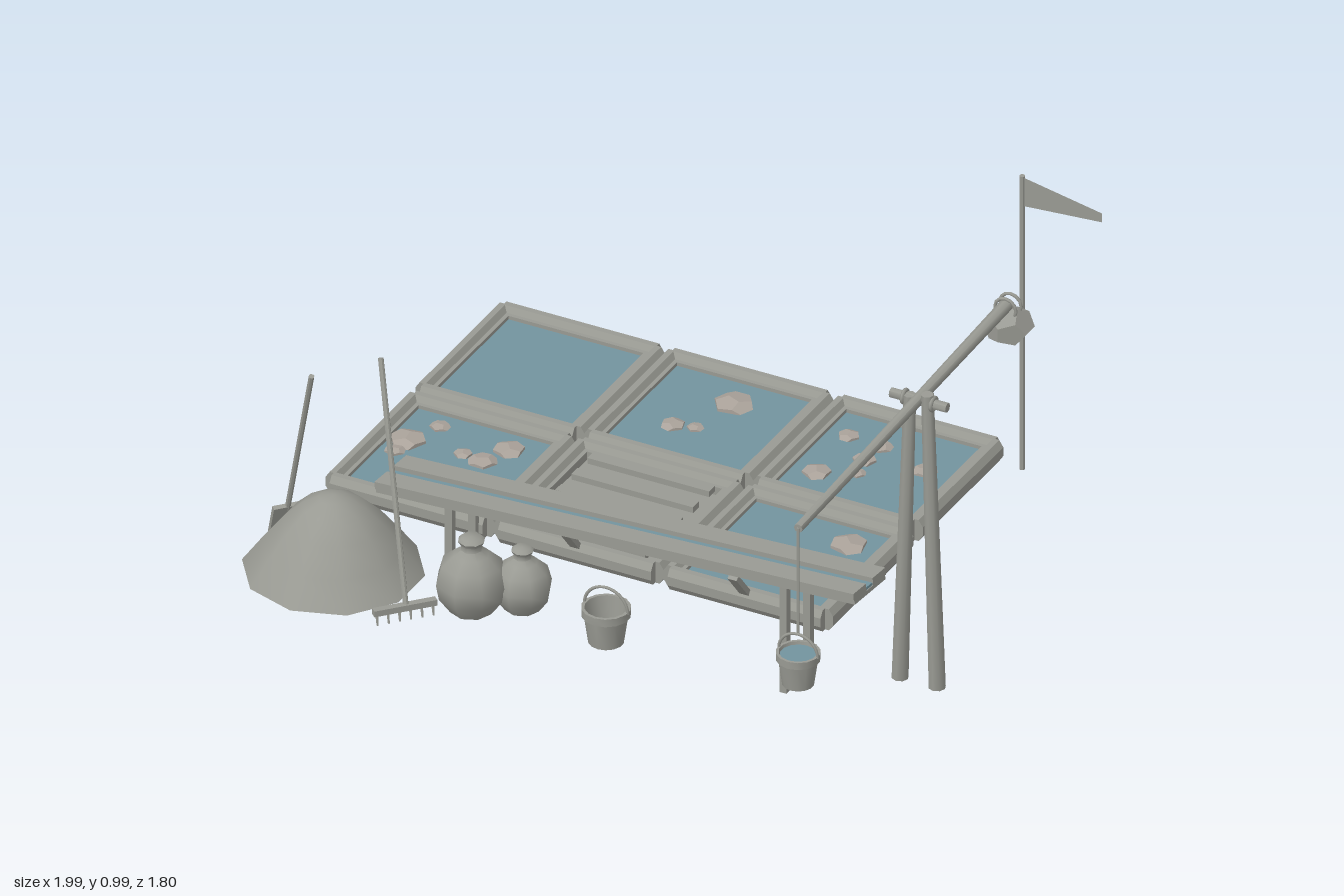
import * as THREE from 'three';
import { toCreasedNormals } from 'three/addons/utils/BufferGeometryUtils.js';

const mat = (name, color, side = THREE.FrontSide) => {
  const m = new THREE.MeshStandardMaterial({ color, side });
  m.name = name;
  return m;
};
const V = (x, y, z) => new THREE.Vector3(x, y, z);

export function createModel() {
  const root = new THREE.Group();
  root.name = 'saltWorks';
  const grey = mat('weathered grey', 0x999a93, THREE.DoubleSide);
  const water = mat('brine blue', 0x72939e);
  const salt = mat('salt beige', 0xaaa29a);

  const add = (parent, name, geo, m, x = 0, y = 0, z = 0) => {
    const mesh = new THREE.Mesh(geo, m);
    mesh.name = name;
    mesh.position.set(x, y, z);
    parent.add(mesh);
    return mesh;
  };
  const group = (name, x = 0, y = 0, z = 0) => {
    const g = new THREE.Group();
    g.name = name;
    g.position.set(x, y, z);
    root.add(g);
    return g;
  };
  const box = (parent, name, w, h, d, x, y, z, m = grey) =>
    add(parent, name, new THREE.BoxGeometry(w, h, d), m, x, y, z);
  // round bar between two points
  const rod = (parent, name, a, b, r0, r1 = r0, sides = 8) => {
    const geo = toCreasedNormals(new THREE.CylinderGeometry(r1, r0, a.distanceTo(b), sides), 0.9);
    const mesh = add(parent, name, geo, grey);
    mesh.position.copy(a).lerp(b, 0.5);
    mesh.quaternion.setFromUnitVectors(V(0, 1, 0), b.clone().sub(a).normalize());
    return mesh;
  };
  const lathe = (parent, name, pts, sides, x, y, z) => {
    const geo = new THREE.LatheGeometry(pts.map(p => new THREE.Vector2(p[0], p[1])), sides);
    return add(parent, name, toCreasedNormals(geo, 0.9), grey, x, y, z);
  };

  // Evaporation pans: octagonal rails, floor, inner ledge and brine
  const railGeo = new THREE.CylinderGeometry(0.5, 0.5, 0.465, 8);
  railGeo.rotateY(Math.PI / 8);
  railGeo.rotateX(Math.PI / 2);
  railGeo.scale(0.043 / 0.924, 0.066 / 0.924, 1);
  const rail = toCreasedNormals(railGeo, 0.5);
  const colX = [-0.625, -0.113, 0.402], rowZ = [-0.595, -0.077];
  rowZ.forEach((z, r) => colX.forEach((x, c) => {
    const pan = group('pan', x, 0, z);
    for (let i = 0; i < 4; i++) {
      const a = i * Math.PI / 2, s = Math.sin(a), k = Math.cos(a);
      add(pan, 'rail', rail, grey, 0.236 * k, 0.158, 0.236 * s).rotation.y = -a;
      box(pan, 'ledge', 0.014, 0.04, 0.436, 0.212 * k, 0.155, 0.212 * s).rotation.y = -a;
    }
    box(pan, 'floor', 0.45, 0.02, 0.45, 0, 0.14, 0);
    if (r === 1 && c === 1) {
      for (let i = -2; i <= 2; i++) box(pan, 'dryingSlat', 0.37, 0.018, 0.034, 0, 0.172, i * 0.0925);
    } else box(pan, 'brine', 0.414, 0.014, 0.414, 0, 0.157, 0, water);
  }));

  // Salt crystals floating on the brine: x, z, radius
  const crystals = group('saltCrystals', 0, 0.166, 0);
  const crystalGeo = new THREE.DodecahedronGeometry(1);
  [[-0.735, -0.225, 0.03], [-0.78, -0.125, 0.055], [-0.785, -0.06, 0.03], [-0.615, -0.13, 0.028],
    [-0.55, -0.12, 0.042], [-0.515, -0.205, 0.047], [-0.57, -0.015, 0.028], [-0.525, 0.02, 0.03],
    [-0.63, 0.045, 0.036], [-0.09, -0.695, 0.06], [-0.185, -0.525, 0.036], [-0.125, -0.54, 0.025],
    [0.26, -0.695, 0.033], [0.365, -0.685, 0.033], [0.355, -0.605, 0.036], [0.37, -0.535, 0.025],
    [0.27, -0.49, 0.043], [0.525, -0.63, 0.036], [0.52, -0.2, 0.055], [0.495, 0, 0.048],
  ].forEach(([x, z, r], i) => {
    const m = add(crystals, 'saltCrystal', crystalGeo, salt, x, 0, z);
    m.scale.set(r, r * 0.3, r);
    m.rotation.y = i * 1.7;
  });

  // Sloping water trough with legs and two spouts
  const trough = group('trough', 0.112, 0.36, 0.286);
  trough.rotation.order = 'YZX';
  trough.rotation.set(0, -0.074, 0.092);
  box(trough, 'troughFloor', 1.525, 0.012, 0.155, 0, -0.012, 0);
  for (const s of [-1, 1]) box(trough, 'troughPlank', 1.525, 0.022, 0.064, 0, 0.005, s * 0.049);
  box(trough, 'troughWater', 1.52, 0.008, 0.034, 0, -0.002, 0, water);
  const supports = group('troughSupports');
  for (const [x, z, top] of [[0.638, 0.325, 0.395], [-0.42, 0.247, 0.3]])
    for (const s of [-1, 1])
      box(supports, 'troughLeg', 0.022, top - 0.055, 0.022, x - s * 0.004, (top + 0.055) / 2, z + s * 0.06);
  for (const x of [-0.115, 0.4])
    box(supports, 'spout', 0.028, 0.016, 0.125, x, 0.22, 0.2).rotation.x = -0.88;

  // Well sweep: posts, crossbar, beam, counterweight, rope
  const sweep = group('wellSweep');
  rod(sweep, 'post', V(0.855, 0.03, 0.14), V(0.885, 0.93, 0.14), 0.024, 0.018);
  rod(sweep, 'post', V(0.968, 0.03, 0.14), V(0.938, 0.945, 0.14), 0.024, 0.018);
  rod(sweep, 'crossbar', V(0.826, 0.918, 0.137), V(0.998, 0.918, 0.137), 0.014);
  for (const x of [0.868, 0.955])
    add(sweep, 'lashing', new THREE.TorusGeometry(0.018, 0.006, 6, 10), grey, x, 0.918, 0.137).rotation.y = Math.PI / 2;
  rod(sweep, 'beam', V(0.912, 0.893, 0.836), V(0.912, 0.946, -0.37), 0.013, 0.019);
  const stone = add(sweep, 'counterweight', new THREE.DodecahedronGeometry(0.07), grey, 0.915, 0.878, -0.375);
  stone.scale.y = 0.8;
  for (const z of [-0.36, -0.39])
    add(sweep, 'weightRope', new THREE.TorusGeometry(0.032, 0.005, 6, 12), grey, 0.912, 0.935, z);
  rod(sweep, 'rope', V(0.912, 0.895, 0.836), V(0.912, 0.565, 0.836), 0.004, 0.004, 6);

  // Buckets
  const bucket = (x, y, z, r, h, full) => {
    const b = group('bucket', x, y, z);
    lathe(b, 'pail', [[0, 0], [0.72 * r, 0], [0.9 * r, 0.78 * h], [r, 0.78 * h], [r, h],
      [0.87 * r, h], [0.68 * r, 0.1 * h], [0, 0.1 * h]], 14, 0, 0, 0);
    add(b, 'handle', new THREE.TorusGeometry(r * 0.97, 0.0045, 6, 18, Math.PI), grey, 0, h * 0.95, 0);
    if (full) add(b, 'bucketWater', new THREE.CylinderGeometry(0.83 * r, 0.83 * r, 0.006, 14), water, 0, h * 0.88, 0);
  };
  bucket(0.912, 0.405, 0.836, 0.061, 0.1, true);
  bucket(0.142, 0.125, 0.482, 0.068, 0.108, false);

  // Storage jars
  for (const [x, z, s] of [[-0.255, 0.505, 1], [-0.138, 0.433, 0.83]]) {
    lathe(root, 'jar', [[0, 0], [0.06, 0], [0.092, 0.045], [0.1, 0.09], [0.085, 0.145], [0.05, 0.175],
      [0.03, 0.19], [0.03, 0.205], [0.038, 0.218], [0.028, 0.228], [0, 0.228]], 8, x, 0.125, z).scale.setScalar(s);
  }

  // Salt heap
  lathe(root, 'heap', [[0, 0], [0.25, 0], [0.195, 0.075], [0.14, 0.145], [0.085, 0.198],
    [0.04, 0.222], [0, 0.23]], 10, -0.682, 0.125, 0.49);

  // Shovel
  const lay = (g, a, b) => { // local y runs from a to b, local x stays level
    const y = b.clone().sub(a).normalize();
    const x = V(y.z, 0, -y.x).normalize();
    g.quaternion.setFromRotationMatrix(new THREE.Matrix4().makeBasis(x, y, x.clone().cross(y)));
    return a.distanceTo(b);
  };
  const shovel = group('shovel', -0.963, 0.005, 0.255);
  const sl = lay(shovel, shovel.position, V(-0.79, 0.655, 0.412));
  box(shovel, 'blade', 0.085, 0.14, 0.014, 0, 0.075, 0);
  rod(shovel, 'shovelHandle', V(0, 0.13, 0), V(0, sl, 0), 0.008);

  // Rake
  const rake = group('rake');
  rod(rake, 'rakeHandle', V(-0.41, 0.14, 0.59), V(-0.578, 0.775, 0.415), 0.008);
  const head = group('rakeHead', -0.411, 0.135, 0.594);
  head.rotation.y = 0.83;
  box(head, 'headBar', 0.18, 0.018, 0.02, 0, 0, 0);
  for (let i = 0; i < 6; i++)
    rod(head, 'tine', V(-0.08 + i * 0.032, 0, 0), V(-0.08 + i * 0.032, -0.038, 0.008), 0.005, 0.003, 5);

  // Flag
  rod(root, 'flagPole', V(0.682, 0.075, -0.893), V(0.682, 1, -0.893), 0.008);
  const pennant = new THREE.Shape([[0.686, 0.995], [0.686, 0.905], [0.925, 0.922], [0.925, 0.95]]
    .map(p => new THREE.Vector2(p[0], p[1])));
  add(root, 'pennant', new THREE.ShapeGeometry(pennant), grey, 0, 0, -0.893);

  return root;
}
